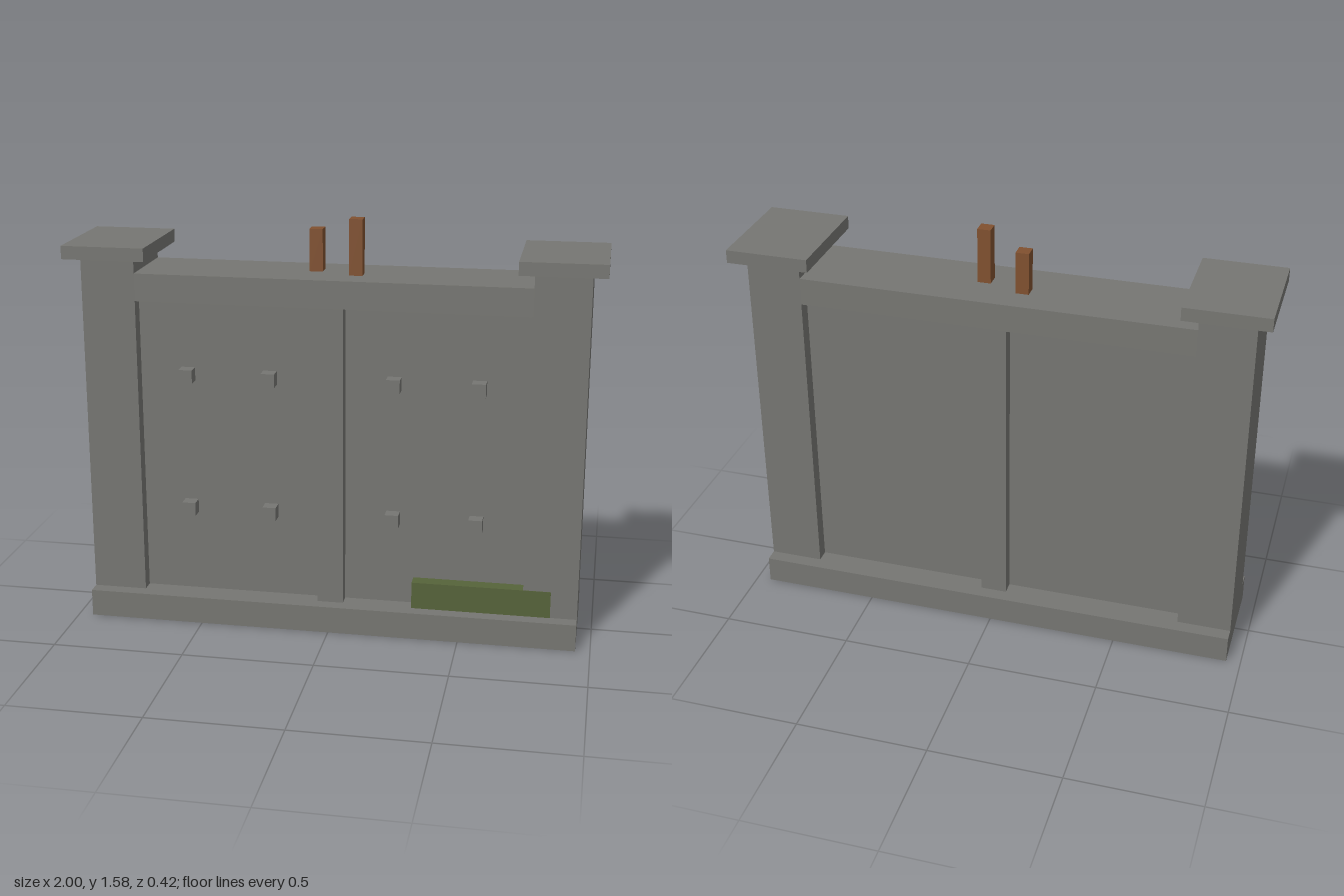
import * as THREE from 'three';

const material = (name, color) => Object.assign(new THREE.MeshStandardMaterial({ color }), { name });

export function createModel() {
  const model = new THREE.Group();
  model.name = 'panelledWall';
  const stone = material('grey stone', 0x767672);
  const wood = material('brown wood', 0x80502f);
  const moss = material('moss green', 0x56633a);

  // Box given by its lower and upper corners
  const block = (name, mat, [x0, y0, z0], [x1, y1, z1]) => {
    const mesh = new THREE.Mesh(new THREE.BoxGeometry(x1 - x0, y1 - y0, z1 - z0), mat);
    mesh.position.set((x0 + x1) / 2, (y0 + y1) / 2, (z0 + z1) / 2);
    mesh.name = name;
    model.add(mesh);
  };

  // Plinth, top rail and centre post
  block('plinth', stone, [-0.945, 0, -0.21], [0.945, 0.105, 0.21]);
  block('topRail', stone, [-0.74, 1.265, -0.157], [0.74, 1.37, 0.157]);
  block('centrePost', stone, [-0.05, 0.105, -0.157], [0.05, 1.265, 0.157]);

  // End pillars, their caps and the recessed panels
  for (const [side, s] of [['left', 1], ['right', -1]]) {
    const span = (name, a, b, y0, y1, z) =>
      block(side + name, stone, [Math.min(s * a, s * b), y0, -z], [Math.max(s * a, s * b), y1, z]);
    span('Pillar', 0.74, 0.945, 0.105, 1.425, 0.157);
    span('Cap', 0.685, 1, 1.425, 1.475, 0.21);
    span('Panel', 0.05, 0.74, 0.105, 1.265, 0.105);
  }

  // Square studs on the front panels
  for (const x of [-0.555, -0.238, 0.235, 0.552])
    for (const y of [0.45, 0.98])
      block('stud', stone, [x - 0.026, y - 0.026, 0.105], [x + 0.026, y + 0.026, 0.155]);

  // Moss strip along the foot of the front
  block('mossStrip', moss, [0.316, 0.105, 0.105], [0.844, 0.21, 0.159]);

  // Wooden pegs on the top rail
  block('tallPeg', wood, [0.053, 1.37, 0], [0.103, 1.58, 0.052]);
  block('shortPeg', wood, [-0.105, 1.37, -0.052], [-0.055, 1.53, 0]);

  return model;
}
